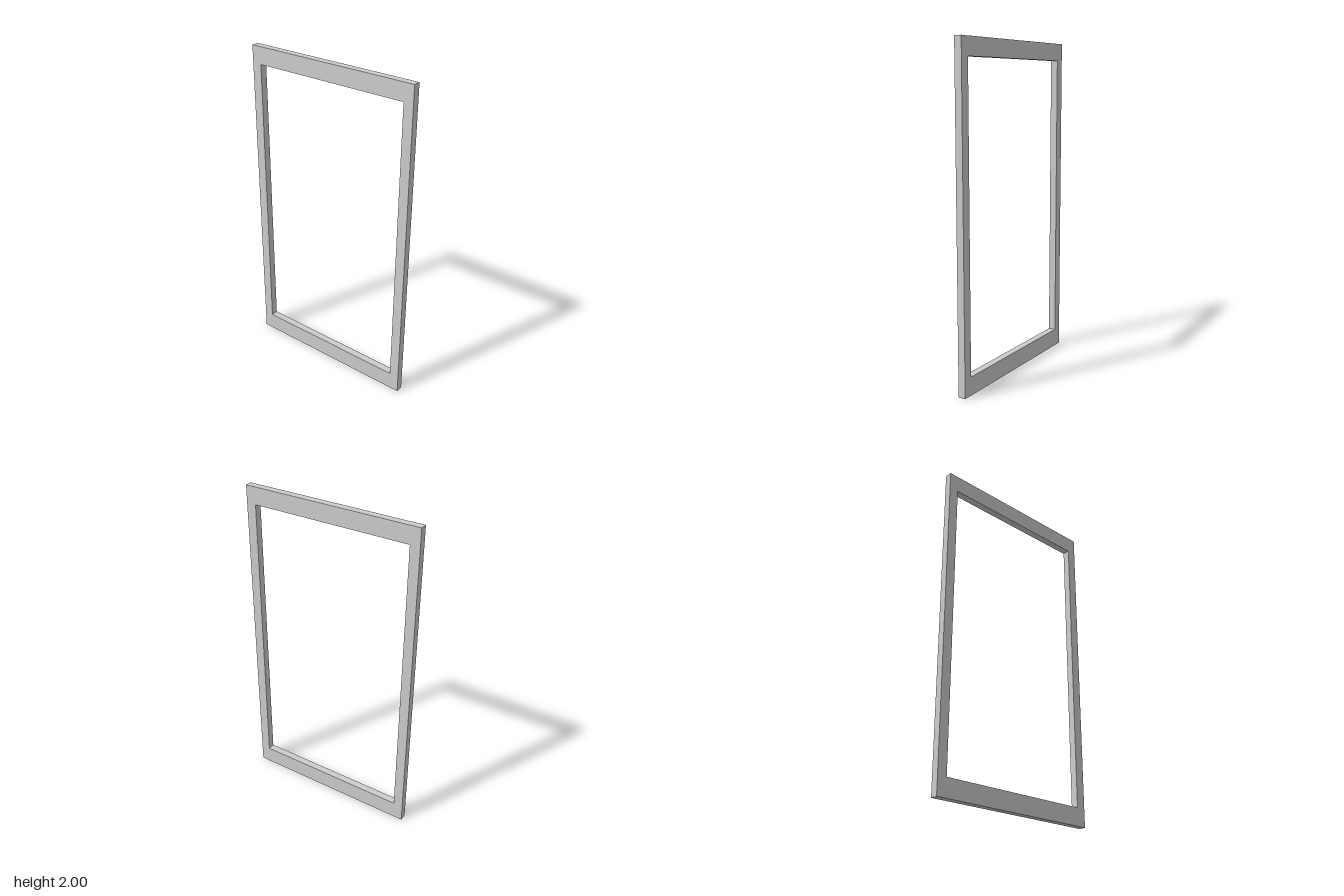
import * as THREE from 'three';

const HEIGHT = 2, HALF_WIDTH = 0.555, DEPTH = 0.045;
const STILE = 0.06, RAIL_TOP = 0.106, RAIL_BOTTOM = 0.111;

// Rectangle traced into a Shape or Path
function rect(path, x0, y0, x1, y1) {
  path.moveTo(x0, y0);
  path.lineTo(x1, y0);
  path.lineTo(x1, y1);
  path.lineTo(x0, y1);
  path.closePath();
  return path;
}

export function createModel() {
  const group = new THREE.Group();
  group.name = 'rectangularFrame';

  // One-piece frame: outline with a rectangular opening
  const outline = rect(new THREE.Shape(), -HALF_WIDTH, 0, HALF_WIDTH, HEIGHT);
  const inner = HALF_WIDTH - STILE;
  outline.holes.push(rect(new THREE.Path(), -inner, RAIL_BOTTOM, inner, HEIGHT - RAIL_TOP));

  const geometry = new THREE.ExtrudeGeometry(outline, { depth: DEPTH, bevelEnabled: false });
  geometry.translate(0, 0, -DEPTH / 2);
  geometry.rotateY(Math.PI / 2); // broad faces point along x

  const frame = new THREE.Mesh(
    geometry,
    new THREE.MeshStandardMaterial({ color: 0xcccccc, flatShading: true })
  );
  frame.name = 'frame';
  group.add(frame);
  return group;
}
